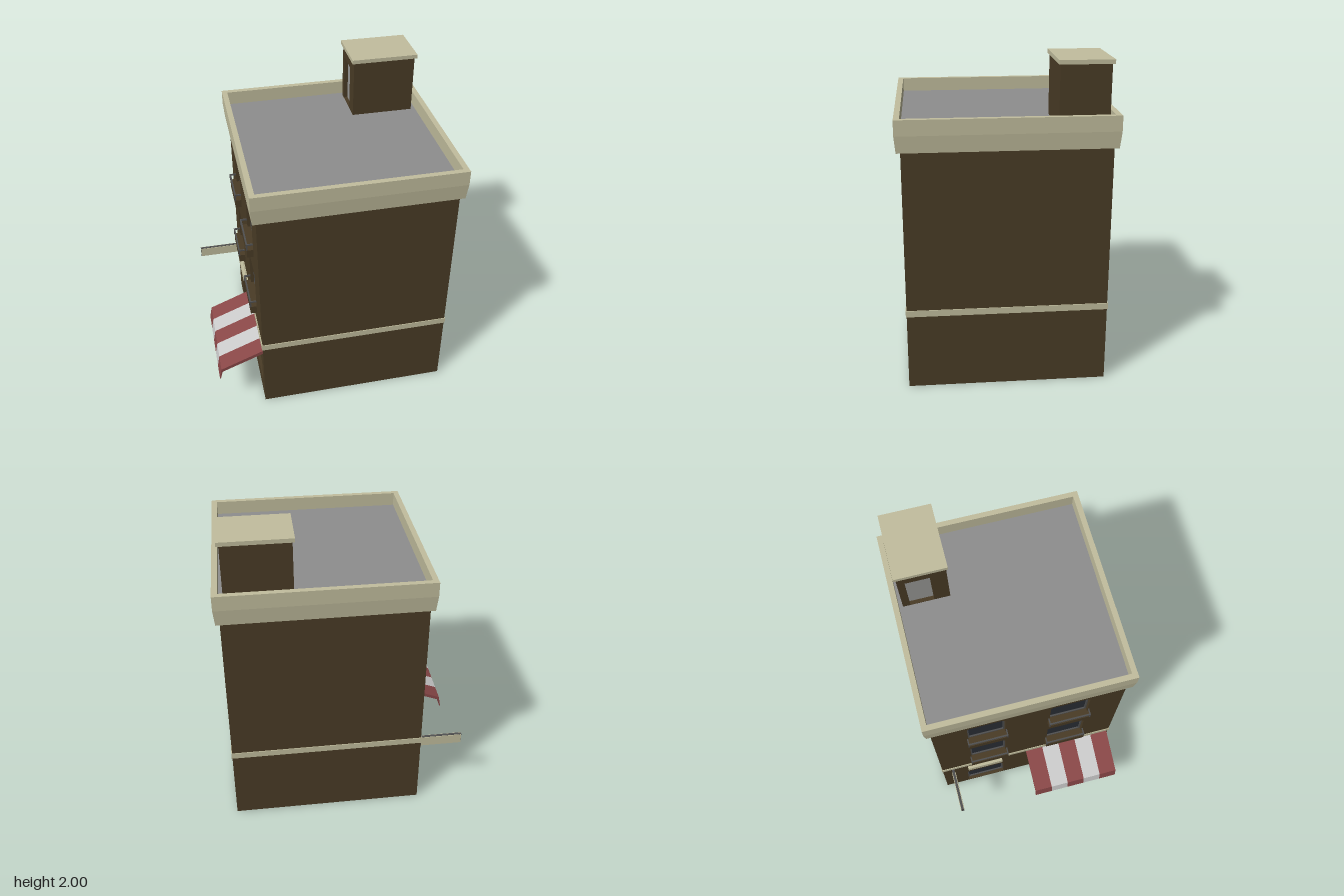
import * as THREE from 'three';

const mat = (color, side = THREE.FrontSide) =>
  new THREE.MeshStandardMaterial({ color, side, flatShading: true });
const brick = mat(0x4a3c26), stone = mat(0xc2be9e), roofGrey = mat(0x8e8e8e);
const glass = mat(0x2b2f36), metal = mat(0x505050), red = mat(0x8a4848, THREE.DoubleSide);
const white = mat(0xd2d2d2, THREE.DoubleSide), doorGrey = mat(0x9a9a98);

export function createModel() {
  const root = new THREE.Group();

  const add = (name, geo, material, parent = root) => {
    const m = new THREE.Mesh(geo, material);
    m.name = name;
    parent.add(m);
    return m;
  };
  // Box given by its min and max along each axis
  const box = (name, x0, x1, y0, y1, z0, z1, material, parent) => {
    const g = new THREE.BoxGeometry(x1 - x0, y1 - y0, z1 - z0);
    g.translate((x0 + x1) / 2, (y0 + y1) / 2, (z0 + z1) / 2);
    return add(name, g, material, parent);
  };
  // Rectangle with clipped top corners, in (z, y)
  const outline = (z0, z1, y0, y1, c = 0, Type = THREE.Path) => {
    const p = new Type();
    p.moveTo(z0, y0);
    p.lineTo(z1, y0);
    p.lineTo(z1, y1 - c);
    if (c) p.lineTo(z1 - c, y1);
    p.lineTo(z0 + c, y1);
    if (c) p.lineTo(z0, y1 - c);
    p.closePath();
    return p;
  };
  // Slab in the z-y plane, from x = inner out to x = outer (towards -x)
  const slab = (name, rect, holes, inner, outer, material, parent) => {
    const s = outline(...rect, THREE.Shape);
    holes.forEach(h => s.holes.push(outline(...h)));
    const g = new THREE.ExtrudeGeometry(s, { depth: inner - outer, bevelEnabled: false });
    g.rotateY(-Math.PI / 2);
    g.translate(inner, 0, 0);
    return add(name, g, material, parent);
  };

  // Openings of the street wall: z0, z1, y0, y1, corner cut
  const floors = [0.62, 1.09], columns = [[-0.4, -0.14], [0.13, 0.4]];
  const windows = floors.flatMap(y => columns.map(([a, b]) => [a + 0.01, b - 0.01, y + 0.03, y + 0.3, 0.015]));
  const door = [-0.44, -0.17, 0.008, 0.28, 0.015];
  const shopWindow = [0.05, 0.53, 0.11, 0.28, 0.015];
  const openings = [...windows, door, shopWindow];

  // Main block and pierced street wall
  box('building', -0.44, 0.74, 0, 1.6, -0.61, 0.61, brick);
  slab('streetWall', [-0.61, 0.61, 0, 1.6, 0], openings, -0.44, -0.48, brick);
  box('stoneBand', -0.485, 0.745, 0.475, 0.515, -0.615, 0.615, stone);

  // Glazing and frames set back in each opening
  openings.forEach(([a, b, y0, y1, c], i) => {
    const g = new THREE.Group();
    g.name = i < 4 ? 'window' : i === 4 ? 'door' : 'shopWindow';
    root.add(g);
    box('pane', -0.448, -0.438, y0, y1, a, b, glass, g);
    const t = 0.01;
    slab('frame', [a, b, y0, y1, c], [[a + t, b - t, y0 + t, y1 - t, c]], -0.445, -0.458, metal, g);
  });

  // Window boxes with thin rails
  floors.forEach(y => columns.forEach(([a, b]) => {
    const g = new THREE.Group();
    g.name = 'windowBox';
    root.add(g);
    box('planter', -0.52, -0.48, y - 0.01, y + 0.045, a, b, brick, g);
    box('topRail', -0.524, -0.514, y + 0.08, y + 0.09, a, b, metal, g);
    [a, b - 0.008].forEach(z => {
      box('post', -0.524, -0.514, y + 0.045, y + 0.08, z, z + 0.008, metal, g);
      box('sideRail', -0.514, -0.48, y + 0.08, y + 0.09, z, z + 0.008, metal, g);
    });
  }));

  // Parapet ring: a four-sided lathe
  const k = Math.SQRT2;
  const profile = [[0.6, 1.5], [0.634, 1.5], [0.643, 1.6], [0.643, 1.692], [0.609, 1.692], [0.609, 1.59]]
    .map(([r, y]) => new THREE.Vector2(r * k, y));
  const ring = new THREE.LatheGeometry(profile, 4);
  ring.rotateY(Math.PI / 4);
  ring.translate(0.13, 0, 0);
  add('parapet', ring, mat(0xc2be9e, THREE.DoubleSide));
  box('roof', -0.48, 0.74, 1.595, 1.605, -0.61, 0.61, roofGrey);

  // Stair hut on the roof
  const hut = new THREE.Group();
  hut.name = 'roofHut';
  root.add(hut);
  box('hutBody', 0.345, 0.71, 1.6, 1.975, -0.585, -0.29, brick, hut);
  slab('hutDoorWall', [-0.585, -0.29, 1.6, 1.975, 0], [[-0.54, -0.39, 1.608, 1.9]], 0.345, 0.31, brick, hut);
  box('hutDoor', 0.335, 0.35, 1.605, 1.9, -0.54, -0.39, doorGrey, hut);
  box('hutCap', 0.297, 0.725, 1.975, 2, -0.598, -0.28, stone, hut);

  // Striped awning: five strips with a sloping top and hanging flap
  const awning = new THREE.Group();
  awning.name = 'awning';
  root.add(awning);
  const side = new THREE.Shape([[-0.48, 0.455], [-0.755, 0.343], [-0.77, 0.262], [-0.764, 0.262],
    [-0.749, 0.322], [-0.48, 0.43]].map(p => new THREE.Vector2(...p)));
  for (let i = 0; i < 5; i++) {
    const g = new THREE.ExtrudeGeometry(side, { depth: 0.12, bevelEnabled: false });
    g.translate(0, 0, i * 0.12);
    add('awningStripe', g, i % 2 ? white : red, awning);
  }

  // Hanging sign and plate above the door
  const sign = new THREE.Group();
  sign.name = 'hangingSign';
  root.add(sign);
  box('signCore', -0.77, -0.48, 0.39, 0.46, -0.546, -0.529, metal, sign);
  [[-0.55, -0.546], [-0.529, -0.525]].forEach(([a, b]) =>
    box('signFace', -0.768, -0.5, 0.392, 0.458, a, b, stone, sign));
  box('doorPlate', -0.5, -0.48, 0.39, 0.44, -0.43, -0.18, stone);
  return root;
}
